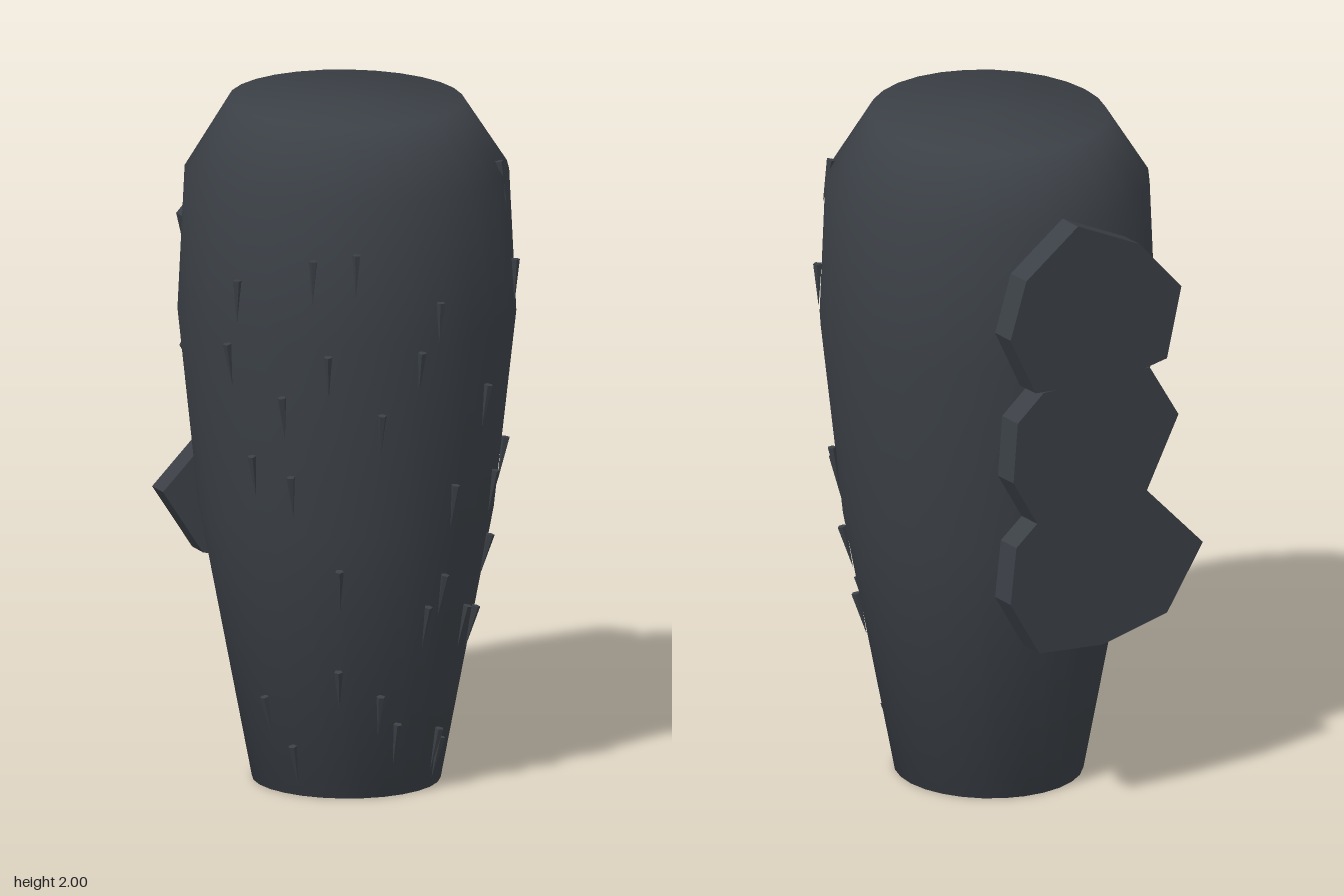
import * as THREE from 'three';

// Body rings: height, half width, half depth, centre z
const RINGS = [
  [0, 0.27, 0.277, 0.025],
  [0.8, 0.425, 0.417, 0.025],
  [1.38, 0.49, 0.47, 0.03],
  [1.8, 0.466, 0.466, 0.03],
  [2, 0.335, 0.355, 0.025],
];

// Interpolated ring at a height
function ringAt(y) {
  let i = 0;
  while (i < RINGS.length - 2 && y > RINGS[i + 1][0]) i++;
  const a = RINGS[i], b = RINGS[i + 1];
  const t = (y - a[0]) / (b[0] - a[0]);
  return a.map((v, k) => v + (b[k] - v) * t);
}

// Point on the front half of the body
function surfacePoint(angle, y) {
  const [, rx, rz, cz] = ringAt(y);
  return new THREE.Vector3(Math.sin(angle) * rx, y, cz + Math.cos(angle) * rz);
}

function makeBody(material) {
  const profile = [[0, 0], ...RINGS.map((r) => [r[1], r[0]]), [0, 2]];
  const geo = new THREE.LatheGeometry(profile.map(([x, y]) => new THREE.Vector2(x, y)), 28);
  // Turn each round ring into its ellipse
  const p = geo.attributes.position;
  for (let i = 0; i < p.count; i++) {
    const [, rx, rz, cz] = ringAt(p.getY(i));
    p.setZ(i, cz + (p.getZ(i) * rz) / rx);
  }
  const body = new THREE.Mesh(geo, material);
  body.name = 'body';
  return body;
}

// Back plate outlines, x and y
const PLATES = [
  [[0.295, 1.53], [0.24, 1.7], [0.06, 1.83], [-0.155, 1.73], [-0.3, 1.57], [-0.25, 1.36], [-0.09, 1.33], [0.208, 1.35]],
  [[0.285, 1.09], [0.27, 1.27], [0.18, 1.345], [-0.19, 1.345], [-0.29, 1.18], [-0.18, 0.97], [0.2, 0.945]],
  [[0.295, 0.72], [0.275, 0.89], [0.195, 0.955], [-0.17, 0.98], [-0.375, 0.77], [-0.25, 0.58], [-0.025, 0.53], [0.195, 0.55]],
];

function makePlates(material) {
  const group = new THREE.Group();
  group.name = 'backPlates';
  PLATES.forEach((outline, i) => {
    const shape = new THREE.Shape(outline.map(([x, y]) => new THREE.Vector2(x, y)));
    const geo = new THREE.ExtrudeGeometry(shape, { depth: 0.079, bevelEnabled: false });
    const plate = new THREE.Mesh(geo, material);
    plate.position.z = -0.514;
    plate.name = 'backPlate' + (i + 1);
    group.add(plate);
  });
  return group;
}

// Bristle centres on the front, x and y
const BRISTLES = [
  [-0.43, 1.49], [-0.27, 1.57], [-0.16, 1.59], [0.37, 1.78], [0.41, 1.48], [-0.44, 1.3],
  [-0.23, 1.29], [-0.33, 1.16], [-0.38, 0.97], [-0.3, 0.92], [-0.08, 1.11], [0.03, 1.29],
  [0.09, 1.43], [0.27, 1.15], [0.16, 0.87], [0.33, 0.87], [0.4, 0.94], [0.33, 0.67],
  [-0.17, 0.64], [0.14, 0.6], [0.09, 0.51], [0.24, 0.48], [0.29, 0.46], [-0.15, 0.33],
  [-0.035, 0.25], [0.02, 0.16], [-0.29, 0.23], [-0.23, 0.09], [0.165, 0.12], [0.175, 0.09],
];

function makeBristles(material) {
  const group = new THREE.Group();
  group.name = 'bristles';
  const geo = new THREE.ConeGeometry(0.013, 0.13, 5).toNonIndexed();
  geo.computeVertexNormals();
  const down = new THREE.Vector3(0, 1, 0);
  BRISTLES.forEach(([x, y], i) => {
    const angle = Math.asin(THREE.MathUtils.clamp(x / ringAt(y)[1], -0.97, 0.97));
    const top = surfacePoint(angle, y + 0.06);
    const tip = surfacePoint(angle, Math.max(0, y - 0.06));
    // The broad upper end stands slightly proud, the tip points down
    const out = new THREE.Vector3(Math.sin(angle), 0, Math.cos(angle));
    top.addScaledVector(out, 0.011);
    tip.addScaledVector(out, 0.003);
    const bristle = new THREE.Mesh(geo, material);
    bristle.position.copy(top).lerp(tip, 0.5);
    bristle.quaternion.setFromUnitVectors(down, tip.sub(top).normalize());
    bristle.name = 'bristle' + (i + 1);
    group.add(bristle);
  });
  return group;
}

export function createModel() {
  const charcoal = new THREE.MeshStandardMaterial({ color: 0x3b4046 });
  charcoal.name = 'charcoal';
  const model = new THREE.Group();
  model.name = 'model';
  model.add(makeBody(charcoal), makePlates(charcoal), makeBristles(charcoal));
  return model;
}
